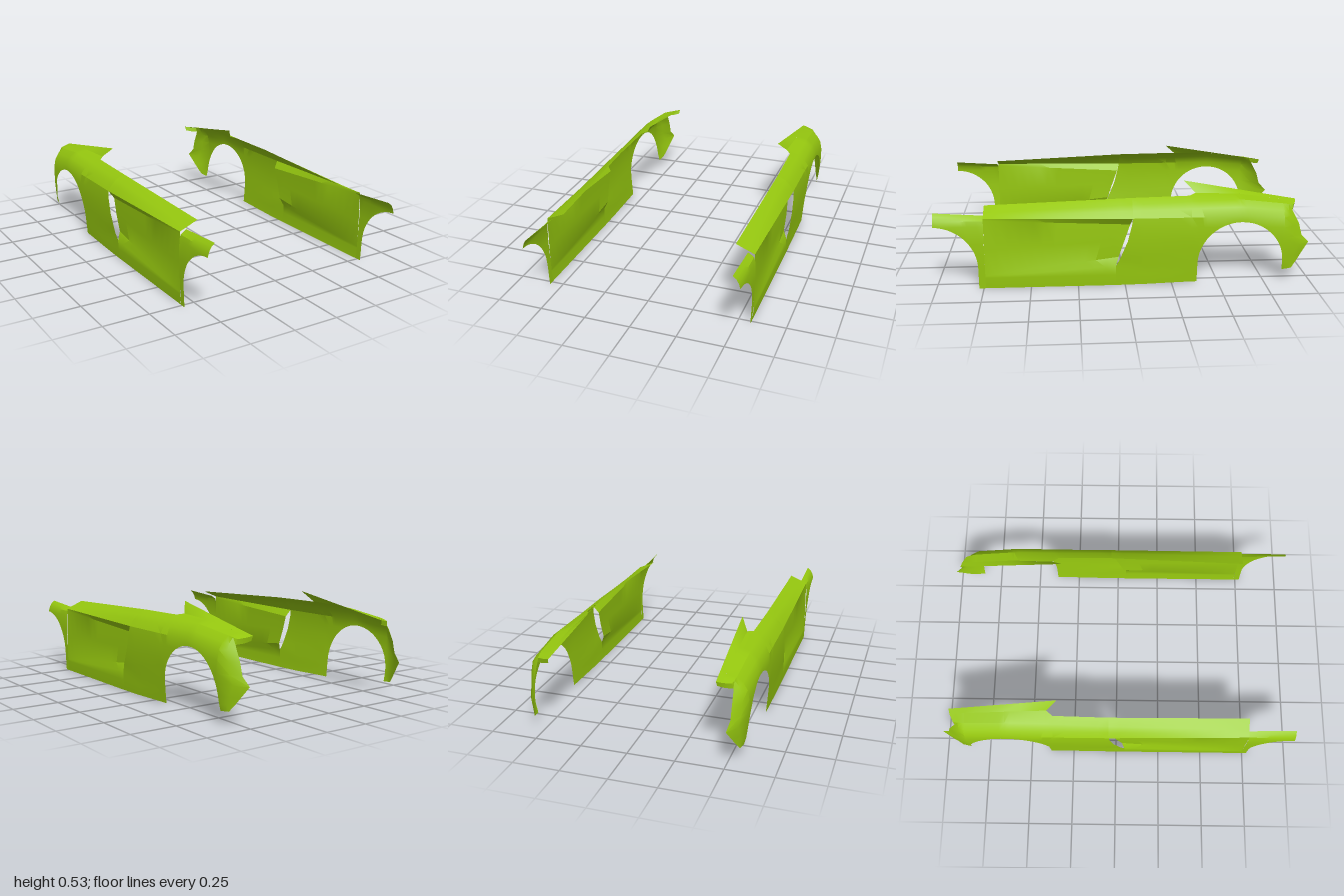
import * as THREE from 'three';
import { toCreasedNormals } from 'three/addons/utils/BufferGeometryUtils.js';

const paint = new THREE.MeshStandardMaterial({ color: 0x96c80f, side: THREE.DoubleSide });
const lerp = THREE.MathUtils.lerp;

// Skin a list of cross-sections, each an equal-length list of [x, y, z]; side -1 mirrors in x
function loft(name, sections, side) {
  const n = sections[0].length, pos = [], idx = [];
  for (const s of sections) for (const p of s) pos.push(p[0] * side, p[1], p[2]);
  const dist = (a, b) => Math.hypot(...[0, 1, 2].map(k => pos[a * 3 + k] - pos[b * 3 + k]));
  const tri = (a, b, c) => {
    if (Math.min(dist(a, b), dist(b, c), dist(c, a)) < 1e-5) return;
    if (side > 0) idx.push(a, b, c); else idx.push(a, c, b);
  };
  for (let i = 0; i < sections.length - 1; i++) {
    for (let j = 0; j < n - 1; j++) {
      const a = i * n + j, b = a + n;
      tri(a, b, a + 1);
      tri(b, b + 1, a + 1);
    }
  }
  const geo = new THREE.BufferGeometry();
  geo.setAttribute('position', new THREE.Float32BufferAttribute(pos, 3));
  geo.setIndex(idx);
  const mesh = new THREE.Mesh(toCreasedNormals(geo, 0.45), paint);
  mesh.name = name;
  return mesh;
}

// Cut a profile of [x, y] points off below yMin
function clip(profile, yMin) {
  return profile.map((p, i) => {
    if (p[1] >= yMin) return p;
    let j = i;
    while (j < profile.length - 1 && profile[j][1] < yMin) j++;
    const a = profile[j - 1], b = profile[j];
    return [lerp(a[0], b[0], (yMin - a[1]) / (b[1] - a[1])), yMin];
  });
}

const atZ = (profile, z) => profile.map(p => [p[0], p[1], z]);

// Both wheel openings are circles of the same size
const ARCH_R = 0.23, ARCH_Y = 0.115, FRONT_Z = 1.005, REAR_Z = -0.615;

// Slanted line between the door and the rear fender
const slant = y => 0.05 - 0.09 * THREE.MathUtils.clamp((y - 0.11) / 0.265, 0, 1);

function frontFender(side) {
  const profile = z => [[0.568, 0], [0.573, 0.13], [0.576, 0.25], [0.574, 0.345],
    [0.566, 0.373], [0.553, lerp(0.382, 0.396, (z - 0.74) / 0.26)],
    [0.535, lerp(0.394, 0.411, (z - 0.74) / 0.26)]];
  const sections = [];
  for (let i = 0; i <= 14; i++) {
    const a = (i / 14) * Math.PI / 2;
    const z = Math.min(1, FRONT_Z - ARCH_R * Math.sin(a));
    sections.push(atZ(clip(profile(z), ARCH_Y + ARCH_R * Math.cos(a)), z));
  }
  sections.push(atZ(profile(0.775), 0.775), atZ(profile(0.74), 0.74));
  return loft('frontFender', sections, side);
}

// Door with a hollow that deepens rearward, an overhanging shoulder and a sill strip
function door(side) {
  const sections = [];
  for (let i = 0; i <= 12; i++) {
    const k = i / 12;
    const profile = [[0.568, 0], [0.573, 0.06], [0.573, 0.065 + 0.045 * k],
      [0.573 - 0.02 * k, 0.07 + 0.085 * k], [0.572 - 0.016 * k, 0.22 + 0.025 * k],
      [0.57 - 0.017 * k, 0.375 - 0.04 * k], [0.57 + 0.01 * k, 0.388 - 0.013 * k],
      [0.552 + 0.004 * k, 0.396 + 0.014 * k], [0.53, 0.405 + 0.03 * k],
      [0.472 + 0.013 * k, 0.43 + 0.03 * k]];
    sections.push(profile.map(([x, y]) => [x, y, lerp(0.74, i === 0 ? 0.74 : slant(y), k)]));
  }
  return loft('door', sections, side);
}

// Key profiles of the rear fender, from sill to shoulder to inner edge
const fenderKeys = [
  [-0.04, [[0.568, 0], [0.573, 0.06], [0.573, 0.11], [0.58, 0.155], [0.584, 0.25], [0.584, 0.335],
    [0.58, 0.375], [0.556, 0.41], [0.53, 0.435], [0.485, 0.46]]],
  [-0.35, [[0.568, 0.01], [0.573, 0.07], [0.577, 0.13], [0.582, 0.2], [0.585, 0.26], [0.585, 0.32],
    [0.58, 0.375], [0.556, 0.415], [0.522, 0.444], [0.48, 0.465]]],
  [-0.385, [[0.568, 0.01], [0.573, 0.07], [0.577, 0.13], [0.583, 0.2], [0.585, 0.26], [0.585, 0.32],
    [0.581, 0.375], [0.557, 0.416], [0.521, 0.446], [0.452, 0.472]]],
  [-0.62, [[0.568, 0.01], [0.573, 0.07], [0.577, 0.13], [0.583, 0.2], [0.585, 0.26], [0.585, 0.32],
    [0.581, 0.375], [0.558, 0.42], [0.52, 0.451], [0.46, 0.465]]],
  [-0.845, [[0.56, 0.065], [0.569, 0.1], [0.574, 0.14], [0.579, 0.2], [0.581, 0.25], [0.58, 0.31],
    [0.57, 0.36], [0.548, 0.395], [0.516, 0.424], [0.462, 0.434]]],
];
const rearEdge = [[0.552, 0.07, -0.9], [0.54, 0.1, -0.925], [0.526, 0.14, -0.955], [0.506, 0.2, -1],
  [0.516, 0.245, -0.957], [0.517, 0.31, -0.94], [0.515, 0.365, -0.91], [0.513, 0.385, -0.9],
  [0.506, 0.412, -0.905], [0.465, 0.419, -0.925]];

function fenderProfile(z) {
  let i = 0;
  while (i < fenderKeys.length - 2 && z < fenderKeys[i + 1][0]) i++;
  const [za, a] = fenderKeys[i], [zb, b] = fenderKeys[i + 1];
  const t = THREE.MathUtils.clamp((z - za) / (zb - za), 0, 1);
  return a.map((p, j) => [lerp(p[0], b[j][0], t), lerp(p[1], b[j][1], t)]);
}

function rearFender(side) {
  // Flared front edge stands clear of the door, leaving an air intake
  const lip = fenderProfile(-0.04).map(([x, y]) => {
    const t = THREE.MathUtils.clamp((y - 0.11) / 0.265, 0, 1);
    return [x, y, slant(y) - 0.014 * Math.sin(Math.PI * t)];
  });
  const sections = [lip];
  for (const z of [-0.1, -0.2, -0.28, -0.35, -0.384]) sections.push(atZ(fenderProfile(z), z));
  for (let i = 0; i <= 24; i++) {
    const a = (i / 24) * Math.PI;
    const z = REAR_Z + ARCH_R * Math.cos(a);
    sections.push(atZ(clip(fenderProfile(z), ARCH_Y + ARCH_R * Math.sin(a)), z));
  }
  const tail = fenderProfile(-0.845);
  sections.push(atZ(tail, -0.846));
  // Rounded rear corner
  sections.push(tail.map((p, j) => {
    const r = rearEdge[j];
    return [lerp(p[0], r[0], 0.4), lerp(p[1], r[1], 0.5), lerp(-0.846, r[2], 0.55)];
  }));
  sections.push(rearEdge);
  return loft('rearFender', sections, side);
}

// Inner deck rising to a pointed front corner
function rearDeck(side) {
  const sections = [];
  for (const z of [-0.385, -0.45, -0.53, -0.62, -0.7, -0.78, -0.846]) {
    const [x, y] = fenderProfile(z)[9];
    const t = (z + 0.325) / -0.605;
    const inner = z === -0.385 ? [0.41, 0.53, -0.325] : [0.41 + 0.025 * t, 0.53 - 0.105 * t, z];
    sections.push([[x, y, z], inner]);
  }
  sections.push([rearEdge[9], [0.435, 0.425, -0.932]]);
  return loft('rearDeck', sections, side);
}

// Short turned-down lip at the back of the deck
function deckLip(side) {
  return loft('deckLip', [
    [[0.513, 0.385, -0.9], [0.506, 0.412, -0.905]],
    [[0.475, 0.39, -0.915], [0.465, 0.419, -0.925]],
    [[0.44, 0.4, -0.925], [0.435, 0.425, -0.932]],
  ], side);
}

export function createModel() {
  const model = new THREE.Group();
  model.name = 'bodySides';
  for (const side of [1, -1]) {
    const panel = new THREE.Group();
    panel.name = side > 0 ? 'leftBodySide' : 'rightBodySide';
    for (const part of [frontFender, door, rearFender, rearDeck, deckLip]) panel.add(part(side));
    model.add(panel);
  }
  return model;
}
